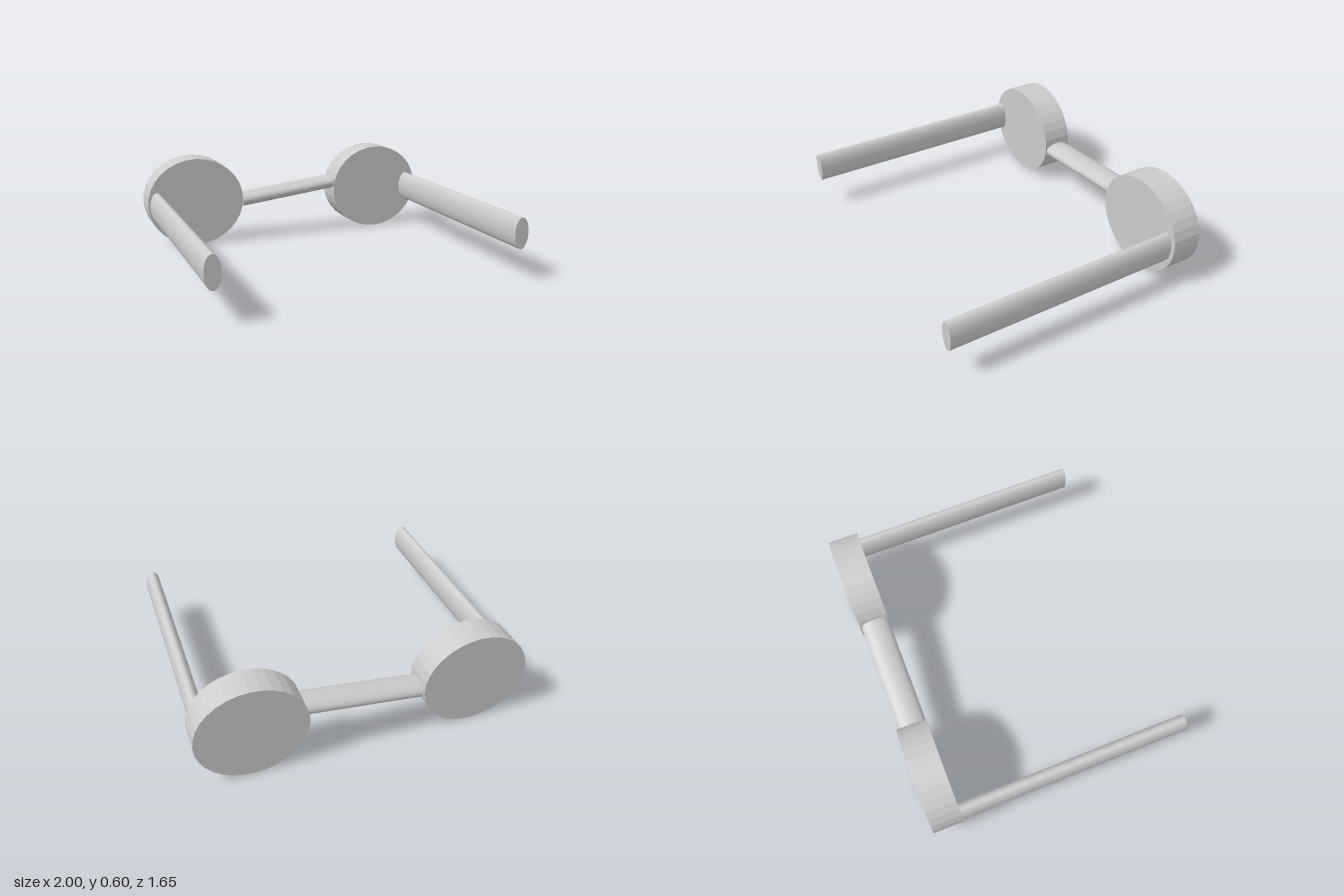
import * as THREE from 'three';

const material = new THREE.MeshStandardMaterial({ color: 0xcccccc, flatShading: true });

// Elliptical rod along z: half-width rx, half-height ry, from z0 to z1
function ovalRod(name, x, y, rx, ry, z0, z1) {
  const geometry = new THREE.CylinderGeometry(1, 1, 1, 32);
  geometry.rotateX(Math.PI / 2);
  geometry.scale(rx, ry, z1 - z0);
  const mesh = new THREE.Mesh(geometry, material);
  mesh.name = name;
  mesh.position.set(x, y, (z0 + z1) / 2);
  return mesh;
}

export function createModel() {
  const group = new THREE.Group();
  group.name = 'glasses';

  // Thick oval lenses
  group.add(ovalRod('rightLens', -0.672, 0.3, 0.328, 0.298, -0.823, -0.635));
  group.add(ovalRod('leftLens', 0.672, 0.3, 0.328, 0.298, -0.823, -0.635));

  // Long temple arms, slightly uneven in placement
  group.add(ovalRod('rightArm', -0.939, 0.289, 0.047, 0.098, -0.636, 0.823));
  group.add(ovalRod('leftArm', 0.925, 0.289, 0.047, 0.098, -0.636, 0.823));

  // Slanted bridge between the lenses
  const start = new THREE.Vector3(-0.34, 0.273, -0.726);
  const end = new THREE.Vector3(0.365, 0.352, -0.726);
  const span = end.clone().sub(start);
  const geometry = new THREE.CylinderGeometry(1, 1, 1, 32);
  geometry.rotateZ(Math.PI / 2);
  geometry.scale(span.length(), 0.048, 0.088);
  const bridge = new THREE.Mesh(geometry, material);
  bridge.name = 'bridge';
  bridge.position.copy(start).add(end).multiplyScalar(0.5);
  bridge.position.z = start.z;
  bridge.rotation.z = Math.atan2(span.y, span.x);
  group.add(bridge);

  return group;
}
